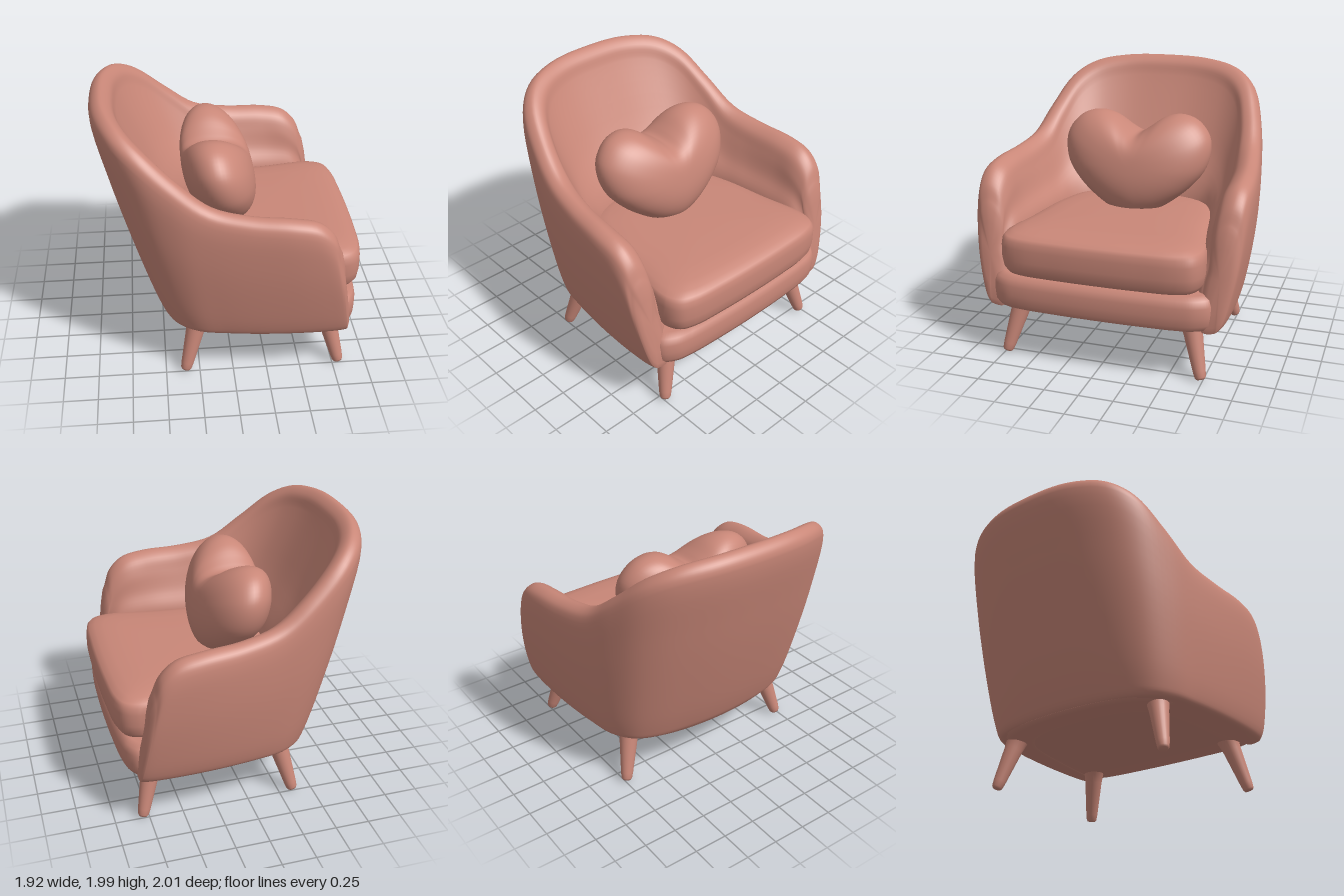
import * as THREE from 'three';
import { mergeVertices } from 'three/addons/utils/BufferGeometryUtils.js';

const V = (x, y, z) => new THREE.Vector3(x, y, z);

// Skin a list of closed rings into one smooth surface, facing outwards
function loft(rings) {
  const n = rings[0].length, pos = [], index = [];
  rings.forEach(r => r.forEach(p => pos.push(p.x, p.y, p.z)));
  for (let i = 0; i < rings.length - 1; i++) {
    for (let j = 0; j < n; j++) {
      const a = i * n + j, b = i * n + (j + 1) % n;
      index.push(a, b, a + n, b, b + n, a + n);
    }
  }
  const at = k => V(pos[3 * k], pos[3 * k + 1], pos[3 * k + 2]);
  let volume = 0;
  for (let i = 0; i < index.length; i += 3) {
    volume += at(index[i]).dot(at(index[i + 1]).cross(at(index[i + 2])));
  }
  if (volume < 0) index.reverse();
  let g = new THREE.BufferGeometry();
  g.setAttribute('position', new THREE.Float32BufferAttribute(pos, 3));
  g.setIndex(index);
  g = mergeVertices(g, 1e-4);
  g.computeVertexNormals();
  return g;
}

// Closed smooth outline from half of it, mirrored in the second coordinate
function outline(half, count) {
  const mirrored = half.slice(1, -1).reverse().map(([a, b]) => [a, -b]);
  const pts = [...half, ...mirrored].map(([a, b]) => V(a, 0, b));
  return new THREE.CatmullRomCurve3(pts, true).getPoints(count).slice(0, -1);
}

// Pillow-like solid: one plan outline scaled through [scale, height] steps
function pillow(half, cx, steps) {
  const plan = outline(half, 96);
  return loft(steps.map(([s, y]) => plan.map(p => V(cx + (p.x - cx) * s, y, p.z * s))));
}

// Wall stations, centre back to arm front: outer foot, outer rim, inner face, rim width
const STATIONS = [
  { b: [-0.55, 0], t: [-0.965, 1.99, 0], i: [-0.31, 0], w: 0.19 },
  { b: [-0.53, 0.3], t: [-0.935, 1.98, 0.35], i: [-0.3, 0.22], w: 0.19 },
  { b: [-0.48, 0.55], t: [-0.83, 1.935, 0.62], i: [-0.26, 0.38], w: 0.19 },
  { b: [-0.4, 0.7], t: [-0.68, 1.835, 0.775], i: [-0.2, 0.48], w: 0.19 },
  { b: [-0.25, 0.8], t: [-0.44, 1.635, 0.87], i: [-0.1, 0.55], w: 0.19 },
  { b: [-0.05, 0.84], t: [-0.19, 1.465, 0.92], i: [0.02, 0.59], w: 0.2 },
  { b: [0.2, 0.87], t: [0.1, 1.405, 0.965], i: [0.2, 0.625], w: 0.21 },
  { b: [0.5, 0.885], t: [0.38, 1.385, 0.995], i: [0.44, 0.665], w: 0.22 },
  { b: [0.73, 0.88], t: [0.56, 1.345, 0.995], i: [0.64, 0.7], w: 0.22 },
  { b: [0.795, 0.87], t: [0.665, 1.25, 0.98], i: [0.72, 0.72], w: 0.2 },
  { b: [0.82, 0.86], t: [0.715, 1.13, 0.955], i: [0.76, 0.735], w: 0.18 },
];

// Cross-section of the wall at one station
function wallSection(B, T, I, w) {
  const foot = V(Math.max(I.x, B.x), 0.385, I.z);
  const dir = foot.clone().sub(B).setY(0).normalize();
  const rim = (k, drop) => T.clone().addScaledVector(dir, w * k).add(V(0, -drop, 0));
  const shoulder = rim(0, 0.1), J = rim(1.02, 0.15);
  const side = (k, out) => B.clone().lerp(shoulder, k).addScaledVector(dir, -out);
  const innerMid = J.clone().lerp(I, 0.5).addScaledVector(dir, -0.012);
  const pts = [
    B.clone().lerp(foot, 0.25).setY(0.385), side(0, -0.015), side(0.07, 0.008),
    side(0.35, 0.03), side(0.7, 0.03), shoulder, rim(0.12, 0.03), rim(0.42, 0),
    rim(0.8, 0.045), J, innerMid, I, foot,
  ];
  return new THREE.CatmullRomCurve3(pts, true).getPoints(65).slice(0, -1);
}

function wallGeometry() {
  const all = [
    ...STATIONS.slice(1).reverse().map(s => ({ ...s, m: -1 })),
    ...STATIONS.map(s => ({ ...s, m: 1 })),
  ];
  const curve = f => new THREE.CatmullRomCurve3(all.map(f));
  const cb = curve(s => V(s.b[0], 0.4, s.b[1] * s.m));
  const ct = curve(s => V(s.t[0], s.t[1], s.t[2] * s.m));
  const ci = curve(s => V(s.i[0], Math.min(0.95, s.t[1] - 0.45), s.i[1] * s.m));
  const cw = curve(s => V(s.w, s.t[0], s.t[2] * s.m));
  const rings = [], N = 100;
  for (let k = 0; k <= N; k++) {
    const u = k / N;
    rings.push(wallSection(cb.getPoint(u), ct.getPoint(u), ci.getPoint(u), cw.getPoint(u).x));
  }
  // Rounded arm fronts
  const cap = ring => {
    const c = ring.reduce((s, p) => s.add(p), V(0, 0, 0)).divideScalar(ring.length);
    return [[0.88, 0.014], [0.6, 0.024], [0, 0.028]].map(([s, dx]) =>
      ring.map(p => c.clone().lerp(p, s).add(V(dx, 0, 0))));
  };
  return loft([...cap(rings[0]).reverse(), ...rings, ...cap(rings[N])]);
}

// Puffed heart: outline shrinks and softens into an ellipse towards both faces
function heartGeometry() {
  const half = [[1.52, 0], [1.565, 0.08], [1.645, 0.2], [1.672, 0.32], [1.635, 0.45], [1.53, 0.545],
    [1.42, 0.565], [1.28, 0.53], [1.15, 0.43], [1.04, 0.3], [0.95, 0.15], [0.91, 0]];
  const edge = outline(half, 96), cy = 1.32, rings = [], N = 32;
  for (let k = 0; k <= N; k++) {
    const a = Math.PI * k / N, s = Math.pow(Math.max(0, Math.sin(a)), 0.8);
    rings.push(edge.map(p => {
      const q = new THREE.Vector2(p.x - cy, p.z), ang = q.angle();
      const soft = new THREE.Vector2(Math.cos(ang) * 0.34, Math.sin(ang) * 0.55);
      q.lerp(soft, (1 - s) * 0.9).multiplyScalar(s);
      return V(-0.05 - 0.2 * q.x - 0.265 * Math.cos(a), cy + q.x, q.y);
    }));
  }
  return loft(rings);
}

export function createModel() {
  const chair = new THREE.Group();
  chair.name = 'armchair';
  const fabric = new THREE.MeshStandardMaterial({ color: 0xc98778 });
  fabric.name = 'dusty rose';
  const add = (name, geometry) => {
    const mesh = new THREE.Mesh(geometry, fabric);
    mesh.name = name;
    chair.add(mesh);
    return mesh;
  };

  add('backAndArms', wallGeometry());

  // Seat base and underside
  add('seatBase', pillow(
    [[0.93, 0], [0.925, 0.3], [0.91, 0.58], [0.885, 0.71], [0.82, 0.8], [0.7, 0.81], [0.2, 0.7], [-0.2, 0.45], [-0.35, 0]], 0.2,
    [[0, 0.374], [0.92, 0.382], [0.97, 0.4], [0.995, 0.44], [1, 0.5], [1, 0.57], [0.98, 0.62], [0.93, 0.645], [0, 0.65]]));
  add('underside', pillow(
    [[0.88, 0], [0.86, 0.5], [0.82, 0.76], [0.74, 0.84], [0.5, 0.865], [0.2, 0.85], [-0.05, 0.82],
      [-0.25, 0.775], [-0.4, 0.67], [-0.48, 0.52], [-0.53, 0.3], [-0.55, 0]], 0.15,
    [[0, 0.368], [0.7, 0.371], [0.9, 0.378], [0.975, 0.39], [0.95, 0.41], [0, 0.42]]));

  add('seatCushion', pillow(
    [[0.96, 0], [0.955, 0.3], [0.935, 0.58], [0.89, 0.69], [0.78, 0.74], [0.4, 0.69], [0, 0.64], [-0.32, 0.5], [-0.44, 0]], 0.3,
    [[0, 0.65], [0.88, 0.65], [0.95, 0.668], [0.985, 0.71], [1, 0.78], [1, 0.87], [0.99, 0.92],
      [0.965, 0.945], [0.9, 0.967], [0.8, 0.985], [0.6, 0.997], [0, 1.0]]));

  add('heartPillow', heartGeometry());

  // Splayed tapered legs
  for (const [end, topX, footX] of [['front', 0.69, 0.795], ['back', -0.25, -0.355]]) {
    for (const side of [1, -1]) {
      const top = V(topX, 0.42, side * 0.63), foot = V(footX, 0.012, side * 0.735);
      const axis = top.clone().sub(foot), len = axis.length();
      const profile = [[0, 0], [0.03, 0], [0.04, 0.015], [0.046, 0.06], [0.068, len * 0.75], [0.078, len * 0.9], [0.09, len]];
      const leg = add(end + (side > 0 ? 'LegA' : 'LegB'),
        new THREE.LatheGeometry(profile.map(([r, y]) => new THREE.Vector2(r, y)), 24));
      leg.position.copy(foot);
      leg.quaternion.setFromUnitVectors(V(0, 1, 0), axis.normalize());
    }
  }
  return chair;
}
